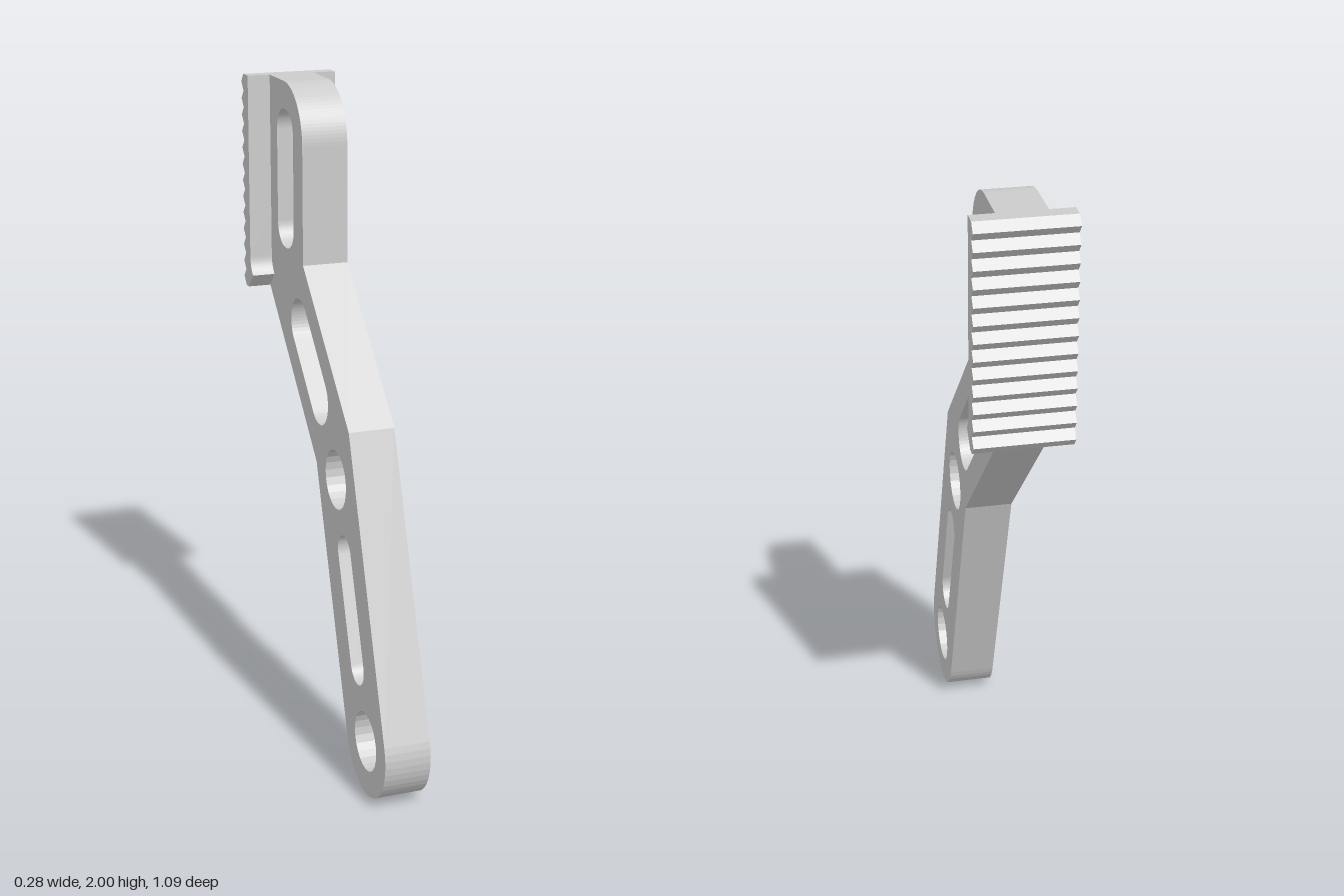
import * as THREE from 'three';

const ARM_WIDTH = 0.14, PLATE_WIDTH = 0.28;

// Side profiles are drawn as (z, y) and extruded across x, centred on x = 0.
function profileMesh(name, shape, width) {
  const geo = new THREE.ExtrudeGeometry(shape, { depth: width, bevelEnabled: false, curveSegments: 12 });
  geo.translate(0, 0, -width / 2);
  geo.rotateY(-Math.PI / 2);
  const mesh = new THREE.Mesh(geo, new THREE.MeshStandardMaterial({ color: 0xcccccc, flatShading: true }));
  mesh.name = name;
  return mesh;
}

function roundHole(z, y, r) {
  return new THREE.Path().absarc(z, y, r, 0, Math.PI * 2, true);
}

// Slot with round ends centred on (z0, y0) and (z1, y1)
function slot(z0, y0, z1, y1, r) {
  const a = Math.atan2(y1 - y0, z1 - z0), q = Math.PI / 2;
  const path = new THREE.Path();
  path.absarc(z1, y1, r, a + q, a - q, true);
  path.absarc(z0, y0, r, a - q, a - 3 * q, true);
  path.closePath();
  return path;
}

// Upright slot with rounded corners
function uprightSlot(z, yLow, yHigh, half, r) {
  const p = new THREE.Path(), q = Math.PI / 2;
  p.absarc(z - half + r, yHigh - r, r, 2 * q, q, true);
  p.absarc(z + half - r, yHigh - r, r, q, 0, true);
  p.absarc(z + half - r, yLow + r, r, 0, -q, true);
  p.absarc(z - half + r, yLow + r, r, -q, -2 * q, true);
  p.closePath();
  return p;
}

function createArm() {
  const s = new THREE.Shape();
  const tilt = Math.atan2(0.332, 0.943);
  // rounded foot, then up the front edge
  s.absarc(0.38, 0.165, 0.165, tilt - Math.PI, tilt, false);
  s.lineTo(0.233, 1.077);
  s.lineTo(-0.17, 1.475);
  // rounded top corner
  s.absarc(-0.34, 1.83, 0.17, 0, Math.PI / 2, false);
  // back edge, buried in the plate, then down the underside
  s.lineTo(-0.5, 2);
  s.lineTo(-0.5, 1.344);
  s.lineTo(-0.053, 0.897);
  s.closePath();
  s.holes.push(
    roundHole(0.38, 0.168, 0.09),
    slot(0.308, 0.377, 0.196, 0.69, 0.056),
    roundHole(0.12, 0.897, 0.09),
    slot(-0.027, 1.103, -0.207, 1.284, 0.08),
    uprightSlot(-0.333, 1.495, 1.917, 0.077, 0.07)
  );
  return profileMesh('arm', s, ARM_WIDTH);
}

function createPlate() {
  const teeth = 13, bottom = 1.34, pitch = (2 - bottom) / teeth;
  const s = new THREE.Shape();
  // front face with a curved lip at the bottom
  s.moveTo(-0.478, 2);
  s.lineTo(-0.523, 2);
  // sawtooth back
  for (let i = 0; i < teeth; i++) {
    s.lineTo(-0.545, 2 - (i + 0.5) * pitch);
    s.lineTo(-0.523, 2 - (i + 1) * pitch);
  }
  s.lineTo(-0.498, bottom);
  s.lineTo(-0.453, 1.385);
  s.quadraticCurveTo(-0.478, 1.41, -0.478, 1.44);
  s.closePath();
  return profileMesh('ribbedPlate', s, PLATE_WIDTH);
}

export function createModel() {
  const group = new THREE.Group();
  group.name = 'bracketArm';
  group.add(createArm(), createPlate());
  return group;
}
